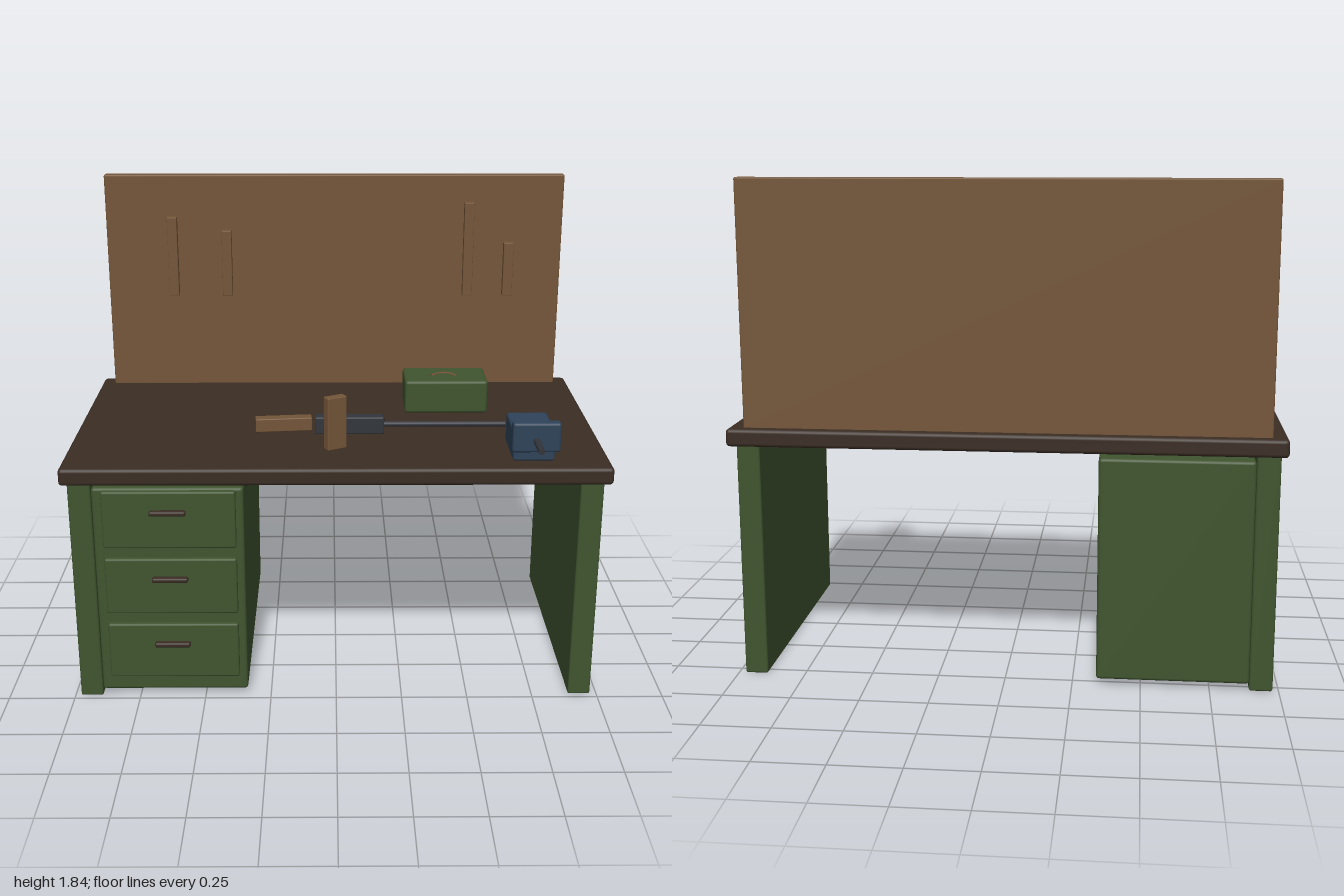
import * as THREE from 'three';
import { RoundedBoxGeometry } from 'three/addons/geometries/RoundedBoxGeometry.js';

const material = (name, color) => {
  const m = new THREE.MeshStandardMaterial({ color });
  m.name = name;
  return m;
};

export function createModel() {
  const model = new THREE.Group();
  model.name = 'workbench';

  const green = material('green paint', 0x40552f);
  const wood = material('warm wood', 0x745538);
  const darkWood = material('dark wood', 0x3a2d24);
  const blue = material('blue steel', 0x2f435a);
  const iron = material('dark iron', 0x32353b);

  const add = (name, geometry, mat, parent = model) => {
    const mesh = new THREE.Mesh(geometry, mat);
    mesh.name = name;
    parent.add(mesh);
    return mesh;
  };

  // Bevelled box given by its extents along x, y and z
  const block = (name, [x0, x1], [y0, y1], [z0, z1], bevel, mat, parent) => {
    const mesh = add(name, new RoundedBoxGeometry(x1 - x0, y1 - y0, z1 - z0, 2, bevel), mat, parent);
    mesh.position.set((x0 + x1) / 2, (y0 + y1) / 2, (z0 + z1) / 2);
    return mesh;
  };

  const group = (name) => {
    const g = new THREE.Group();
    g.name = name;
    model.add(g);
    return g;
  };

  // Bench: top, two side panels and the back board
  block('tabletop', [-1, 1], [0.88, 0.945], [-0.587, 0.52], 0.014, darkWood);
  block('rightSidePanel', [-0.978, -0.893], [0, 0.88], [-0.54, 0.48], 0.008, green);
  block('leftSidePanel', [0.89, 0.975], [0, 0.88], [-0.54, 0.48], 0.008, green);
  block('backBoard', [-0.945, 0.942], [0.94, 1.835], [-0.552, -0.511], 0.006, wood);

  // Drawer cabinet with three drawers and rounded pulls
  const cabinet = group('drawerCabinet');
  block('cabinetBody', [-0.893, -0.338], [0.025, 0.855], [-0.54, 0.475], 0.012, green, cabinet);
  for (const y of [0.735, 0.468, 0.2]) {
    block('drawerFront', [-0.857, -0.367], [y - 0.112, y + 0.112], [0.46, 0.493], 0.008, green, cabinet);
    block('drawerPull', [-0.682, -0.548], [y + 0.023, y + 0.042], [0.488, 0.514], 0.007, darkWood, cabinet);
  }

  // Wooden pegs hanging on the back board
  const pegs = group('pegs');
  for (const [x, top] of [[-0.67, 1.667], [-0.447, 1.612], [0.553, 1.726], [0.72, 1.56]]) {
    block('peg', [x - 0.02, x + 0.02], [1.337, top], [-0.504, -0.471], 0.003, wood, pegs);
  }

  // Toolbox with a flat curved grip on its lid
  const toolbox = group('toolbox');
  block('toolboxBody', [0.279, 0.61], [0.943, 1.077], [-0.3, -0.104], 0.012, green, toolbox);
  const grip = add('toolboxGrip', new THREE.TorusGeometry(0.045, 0.009, 6, 20, Math.PI), wood, toolbox);
  grip.rotation.x = -Math.PI / 2;
  grip.scale.z = 0.3;
  grip.position.set(0.44, 1.077, -0.18);

  // Bench vise with jaw and screw
  const vise = group('vise');
  block('viseBody', [0.643, 0.796], [0.943, 1.056], [0.213, 0.438], 0.01, blue, vise);
  block('viseJaw', [0.633, 0.808], [0.99, 1.102], [0.434, 0.478], 0.01, blue, vise);
  const screw = add('viseScrew', new THREE.CylinderGeometry(0.012, 0.012, 0.12, 16), iron, vise);
  screw.rotation.x = Math.PI / 2;
  screw.position.set(0.72, 1.036, 0.531);

  // Long tool with a square grip and thin shaft
  const tool = group('longTool');
  block('toolGrip', [-0.08, 0.186], [0.945, 1.014], [0.105, 0.152], 0.006, iron, tool);
  const shaft = add('toolShaft', new THREE.CylinderGeometry(0.011, 0.011, 0.475, 12), iron, tool);
  shaft.rotation.z = Math.PI / 2;
  shaft.position.set(0.415, 0.98, 0.129);

  // Loose wooden pieces: one lying, one standing
  const lying = block('lyingWoodBlock', [-0.31, -0.092], [0.945, 0.998], [0.072, 0.118], 0.004, wood);
  lying.rotation.y = 0.1;
  const standing = block('standingWoodBlock', [-0.043, 0.037], [0.943, 1.147], [0.278, 0.314], 0.004, wood);
  standing.rotation.y = 0.5;

  return model;
}
